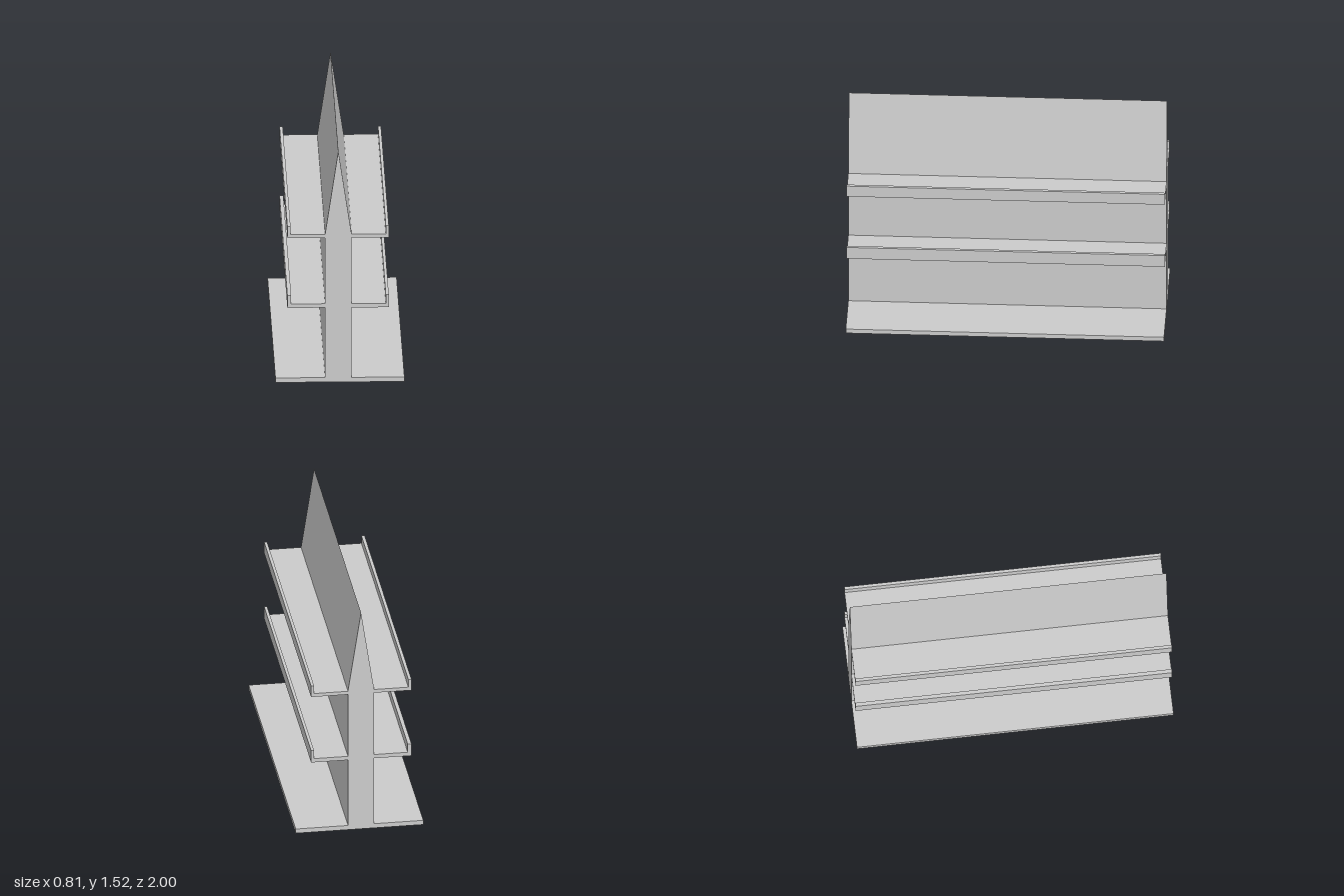
import * as THREE from 'three';

const LENGTH = 2;

// Extrudes an x/y outline along the full length, centred on z = 0
function extrudeProfile(name, points, material) {
  const shape = new THREE.Shape(points.map(([x, y]) => new THREE.Vector2(x, y)));
  const geometry = new THREE.ExtrudeGeometry(shape, { depth: LENGTH, bevelEnabled: false });
  geometry.translate(0, 0, -LENGTH / 2);
  const mesh = new THREE.Mesh(geometry, material);
  mesh.name = name;
  return mesh;
}

export function createModel() {
  const group = new THREE.Group();
  group.name = 'doubleSidedShelf';
  const material = new THREE.MeshStandardMaterial({ color: 0xcccccc, flatShading: true });

  // Flat base plate
  const base = new THREE.Mesh(new THREE.BoxGeometry(0.81, 0.03, LENGTH), material);
  base.name = 'base';
  base.position.y = 0.015;
  group.add(base);

  // Central wall with a pointed ridge, slightly off centre
  const left = 0.073, right = -0.093, ridge = -0.01;
  group.add(extrudeProfile('centralWall', [
    [right, 0.03], [left, 0.03], [left, 0.977], [ridge, 1.525], [right, 0.977],
  ], material));

  // Shelves with an upturned lip, two levels on both sides
  const levels = [
    { name: 'lowerShelf', bottom: 0.492, top: 0.518, lipTop: 0.575, lip: [0.019, 0.024] },
    { name: 'upperShelf', bottom: 0.954, top: 0.977, lipTop: 1.031, lip: [0.019, 0.02] },
  ];
  const sides = [
    { name: 'Left', inner: left, outer: 0.307, dir: 1 },
    { name: 'Right', inner: right, outer: -0.33, dir: -1 },
  ];
  for (const { name, bottom, top, lipTop, lip } of levels) {
    sides.forEach((side, i) => {
      const lipInner = side.outer - side.dir * lip[i];
      group.add(extrudeProfile(name + side.name, [
        [side.inner, bottom], [side.outer, bottom], [side.outer, lipTop],
        [lipInner, lipTop], [lipInner, top], [side.inner, top],
      ], material));
    });
  }

  return group;
}
